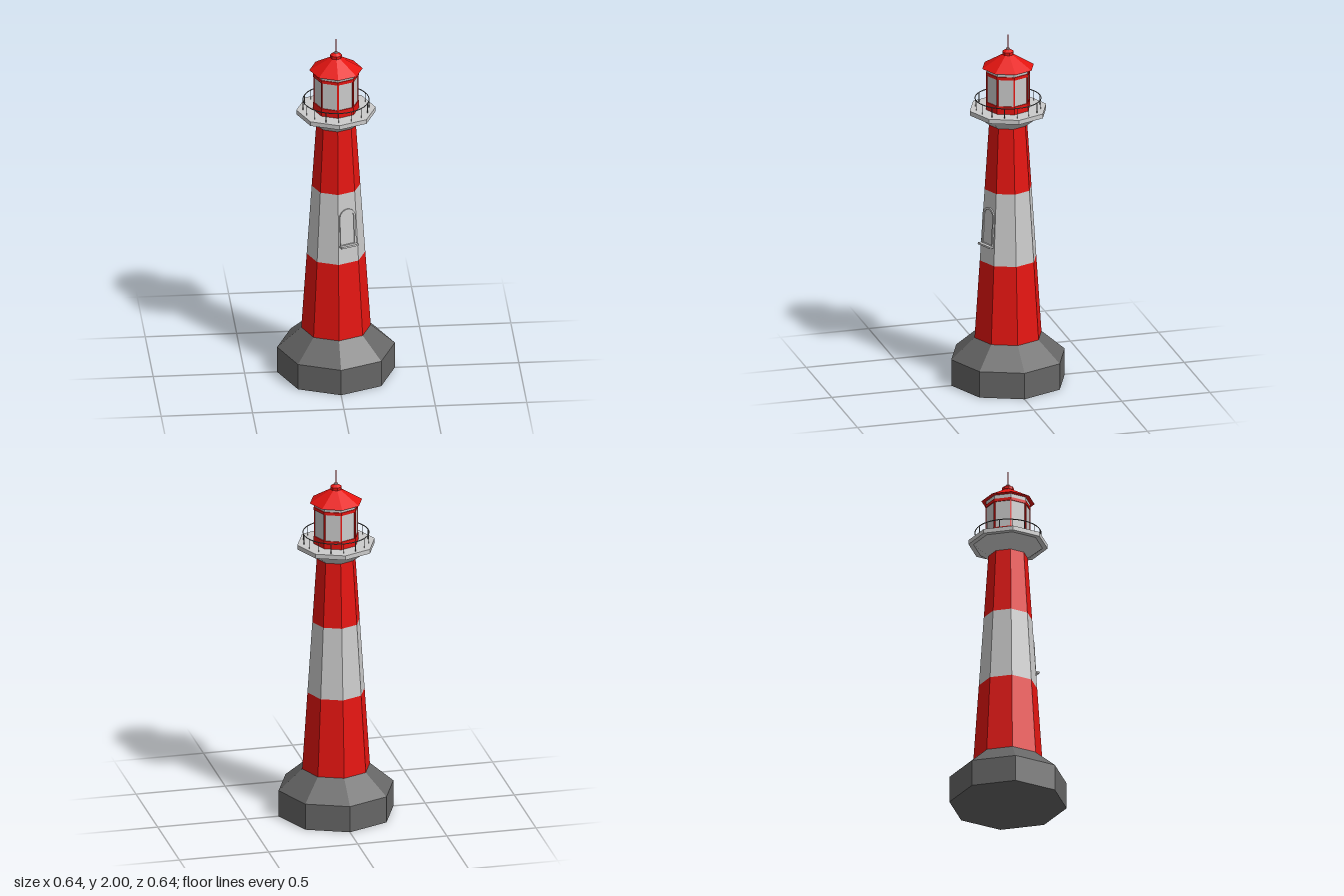
import * as THREE from 'three';

const mat = (color) => new THREE.MeshStandardMaterial({ color, flatShading: true });
const RED = mat(0xe51410);
const WHITE = mat(0xcccccc);
const DARK = mat(0x666666);

export function createModel() {
  const model = new THREE.Group();
  model.name = 'lighthouse';

  function add(name, geometry, material, parent = model) {
    const mesh = new THREE.Mesh(geometry, material);
    mesh.name = name;
    parent.add(mesh);
    return mesh;
  }

  // Octagonal section between two heights, corners on the axes
  function section(name, y0, y1, r0, r1, material, sides = 8) {
    const g = new THREE.CylinderGeometry(r1, r0, y1 - y0, sides);
    g.translate(0, (y0 + y1) / 2, 0);
    return add(name, g, material);
  }

  // Foundation
  section('foundation', 0, 0.15, 0.322, 0.322, DARK);
  section('foundationSlope', 0.15, 0.265, 0.322, 0.19, DARK);

  // Striped tapering tower
  const towerR = (y) => 0.19 - (y - 0.265) * 0.0667;
  const bands = [0.265, 0.71, 1.12, 1.49];
  ['lowerBand', 'middleBand', 'upperBand'].forEach((name, i) => {
    section(name, bands[i], bands[i + 1], towerR(bands[i]), towerR(bands[i + 1]), i === 1 ? WHITE : RED);
  });

  // Gallery deck on its flared bracket
  section('galleryFlare', 1.49, 1.555, 0.108, 0.19, WHITE);
  section('galleryDeck', 1.555, 1.58, 0.217, 0.217, WHITE);

  // Railing
  const railing = new THREE.Group();
  railing.name = 'railing';
  model.add(railing);
  const rail = add('handrail', new THREE.TorusGeometry(0.18, 0.0028, 6, 48), DARK, railing);
  rail.rotation.x = Math.PI / 2;
  rail.position.y = 1.636;
  const postGeometry = new THREE.CylinderGeometry(0.0022, 0.0022, 0.058, 6);
  for (let i = 0; i < 16; i++) {
    const a = (i / 16) * Math.PI * 2;
    add('railPost', postGeometry, DARK, railing).position.set(Math.sin(a) * 0.18, 1.607, Math.cos(a) * 0.18);
  }

  // Lantern room
  section('lanternBase', 1.58, 1.625, 0.125, 0.125, RED);
  section('lanternGlass', 1.625, 1.82, 0.12, 0.12, WHITE);
  section('lanternBand', 1.778, 1.795, 0.125, 0.125, RED);
  const barGeometry = new THREE.BoxGeometry(0.009, 0.16, 0.009);
  for (let i = 0; i < 8; i++) {
    const a = (i / 8) * Math.PI * 2;
    const bar = add('lanternBar', barGeometry, RED);
    bar.position.set(Math.sin(a) * 0.119, 1.702, Math.cos(a) * 0.119);
    bar.rotation.y = a;
  }

  // Roof, vent cap and spire
  section('roof', 1.818, 1.89, 0.146, 0.027, RED);
  section('ventCap', 1.89, 1.906, 0.032, 0.032, RED);
  section('ventCapTop', 1.906, 1.918, 0.032, 0.012, RED);
  section('spireFoot', 1.915, 1.924, 0.011, 0.011, WHITE);
  section('spire', 1.92, 2, 0.004, 0.004, RED);

  // Arched window lying on the sloping wall, left of the front corner
  const face = new THREE.Group();
  face.name = 'windowFace';
  face.rotation.y = Math.PI / 8;
  model.add(face);
  const win = new THREE.Group();
  win.name = 'window';
  win.position.set(0, 0.815, towerR(0.815) * Math.cos(Math.PI / 8));
  win.rotation.x = -0.0616;
  face.add(win);

  const arch = (Type, halfWidth, bottom, spring) => {
    const s = new Type();
    s.moveTo(-halfWidth, bottom);
    s.lineTo(halfWidth, bottom);
    s.lineTo(halfWidth, spring);
    s.absarc(0, spring, halfWidth, 0, Math.PI, false);
    s.closePath();
    return s;
  };
  const frame = arch(THREE.Shape, 0.048, 0, 0.166);
  frame.holes.push(arch(THREE.Path, 0.037, 0.008, 0.166));
  add('windowFrame', new THREE.ExtrudeGeometry(frame, { depth: 0.008, bevelEnabled: false, curveSegments: 10 }), WHITE, win);
  const pane = new THREE.ShapeGeometry(arch(THREE.Shape, 0.037, 0.008, 0.166), 10);
  add('windowPane', pane, WHITE, win).position.z = 0.002;
  add('windowSill', new THREE.BoxGeometry(0.104, 0.01, 0.034), WHITE, win).position.set(0, 0, 0.011);

  return model;
}
